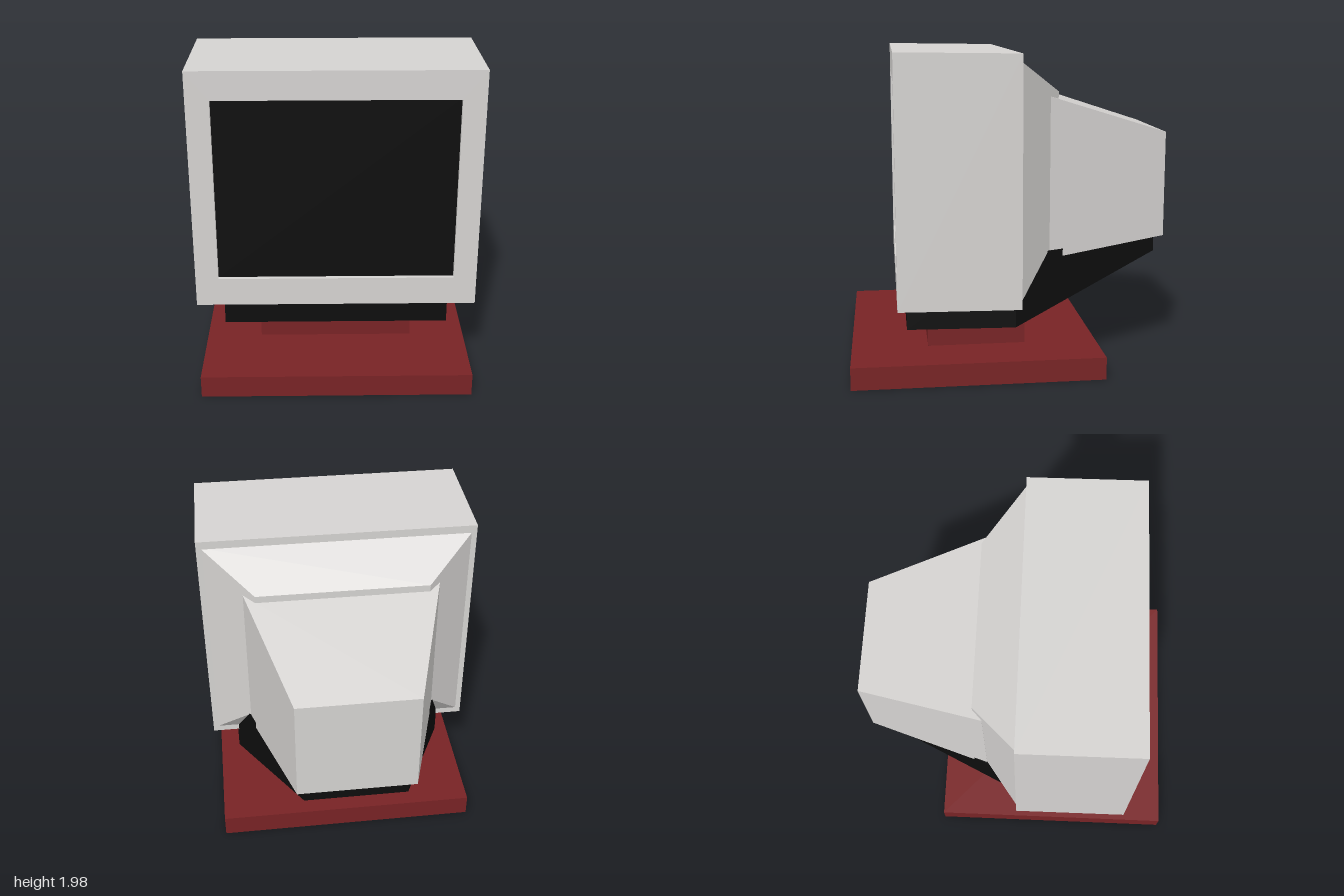
import * as THREE from 'three';

// Solid lofted through rectangles, front to back: [z, halfWidth, yBottom, yTop]
function loft(sections) {
  const rings = sections.map(([z, w, y0, y1]) => [[-w, y0, z], [w, y0, z], [w, y1, z], [-w, y1, z]]);
  const pos = [];
  const quad = (a, b, c, d) => pos.push(...a, ...b, ...c, ...a, ...c, ...d);
  const first = rings[0], last = rings[rings.length - 1];
  quad(first[0], first[1], first[2], first[3]);
  for (let s = 0; s < rings.length - 1; s++) {
    const a = rings[s], b = rings[s + 1];
    for (let i = 0; i < 4; i++) {
      const j = (i + 1) % 4;
      quad(a[i], b[i], b[j], a[j]);
    }
  }
  quad(last[3], last[2], last[1], last[0]);
  const geo = new THREE.BufferGeometry();
  geo.setAttribute('position', new THREE.Float32BufferAttribute(pos, 3));
  geo.computeVertexNormals();
  return geo;
}

// Rectangle outline for shapes and holes
function rect(path, w, y0, y1) {
  path.moveTo(-w, y0);
  path.lineTo(w, y0);
  path.lineTo(w, y1);
  path.lineTo(-w, y1);
  path.closePath();
  return path;
}

export function createModel() {
  const group = new THREE.Group();
  const material = (name, color) => {
    const m = new THREE.MeshStandardMaterial({ color });
    m.name = name;
    return m;
  };
  const grey = material('casing grey', 0xd5d3d1);
  const black = material('black', 0x0d0d0d);
  const red = material('dark red', 0x782325);

  const add = (name, geometry, mat) => {
    const mesh = new THREE.Mesh(geometry, mat);
    mesh.name = name;
    group.add(mesh);
  };

  // Stand
  add('standBase', loft([[1, 0.825, 0, 0.14], [-0.54, 0.825, 0, 0.14]]), red);
  add('standNeck', loft([[0.525, 0.48, 0.13, 0.36], [-0.085, 0.48, 0.13, 0.36]]), red);

  // Front housing: frame with a screen opening, leaning very slightly
  const outline = rect(new THREE.Shape(), 0.86, 0.48, 1.98);
  outline.holes.push(rect(new THREE.Path(), 0.72, 0.66, 1.805));
  const frame = new THREE.ExtrudeGeometry(outline, { depth: 0.735, bevelEnabled: false });
  frame.translate(0, 0, -0.018);
  const p = frame.attributes.position;
  for (let i = 0; i < p.count; i++) p.setY(i, p.getY(i) + 0.0135 * (p.getZ(i) - 0.717));
  frame.computeVertexNormals();
  add('frontHousing', frame, grey);

  // Recessed screen fills the opening
  add('screen', loft([[0.69, 0.72, 0.658, 1.806], [0, 0.72, 0.648, 1.798]]), black);

  // Tapered rear casing in two steps
  add('rearCollar', loft([[-0.01, 0.835, 0.5, 1.925], [-0.28, 0.53, 0.85, 1.73]]), grey);
  add('tubeCover', loft([[-0.22, 0.6, 0.712, 1.705], [-1, 0.365, 0.785, 1.455]]), grey);

  // Black underside, rising toward the back
  add('underside', loft([
    [0.66, 0.695, 0.32, 0.6],
    [0, 0.695, 0.31, 0.755],
    [-0.95, 0.32, 0.675, 0.79],
  ]), black);

  return group;
}
